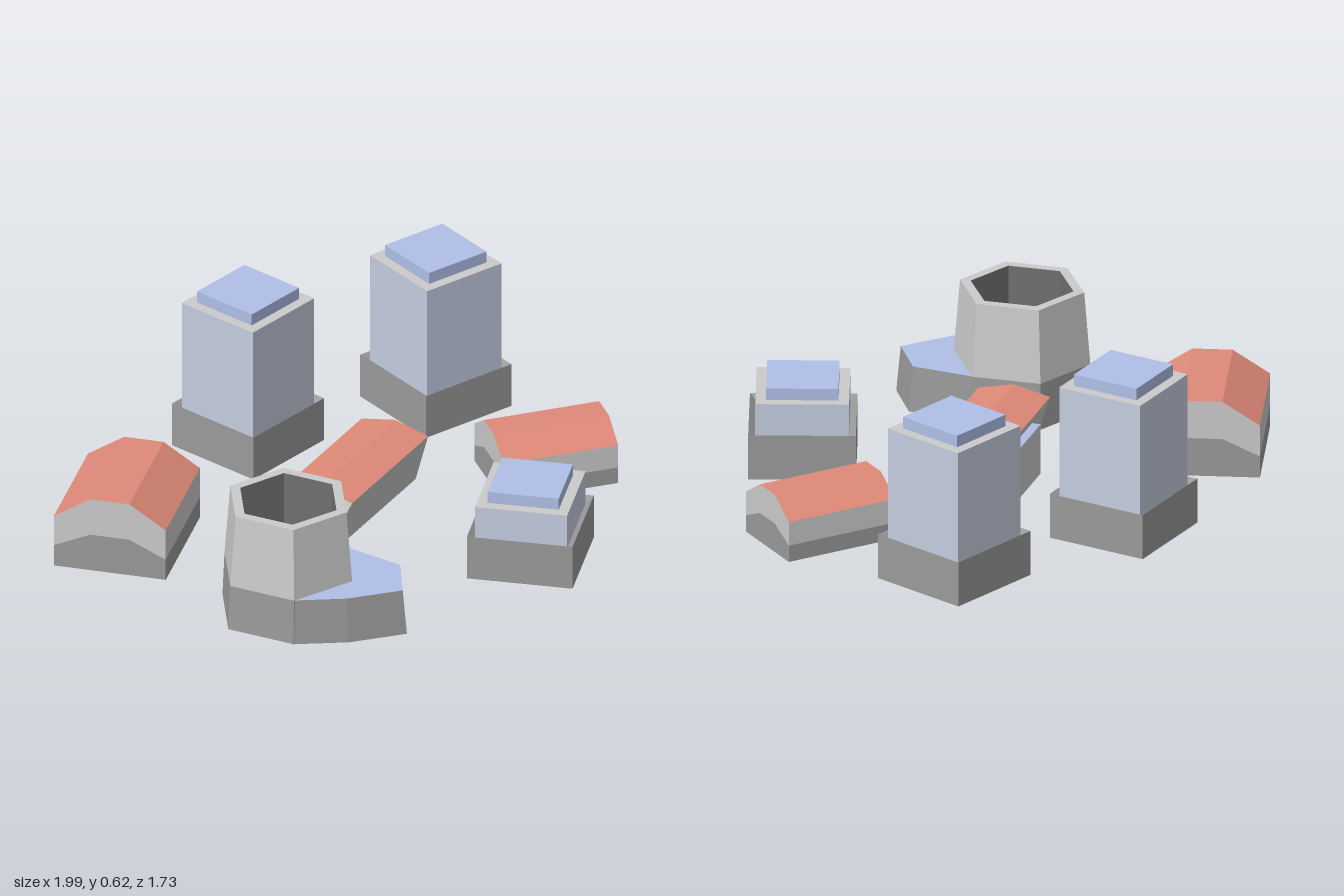
import * as THREE from 'three';

const material = (color) => new THREE.MeshStandardMaterial({ color, flatShading: true, side: THREE.DoubleSide });
const grey = material(0xcccccc);
const dark = material(0x9a9a9a);
const shade = material(0x707070);
const blue = material(0xafbfe6);
const paleBlue = material(0xc4cde0);
const red = material(0xe08a78);

function addMesh(parent, name, geometry, mat) {
  const flat = geometry.index ? geometry.toNonIndexed() : geometry;
  flat.computeVertexNormals();
  const mesh = new THREE.Mesh(flat, mat);
  mesh.name = name;
  parent.add(mesh);
  return mesh;
}

// Surface stretched between two rows of [x, y, z] points
function sheet(parent, name, mat, lower, upper) {
  const pos = [];
  for (let i = 0; i < lower.length - 1; i++) {
    const [a, b, c, d] = [lower[i], lower[i + 1], upper[i + 1], upper[i]];
    pos.push(...a, ...b, ...c, ...a, ...c, ...d);
  }
  const geometry = new THREE.BufferGeometry();
  geometry.setAttribute('position', new THREE.Float32BufferAttribute(pos, 3));
  return addMesh(parent, name, geometry, mat);
}

// Regular prism shell from a [radius, y] profile, listed from the bottom up
function shell(parent, name, mat, profile, sides, start, scale = 1) {
  const points = profile.map(([r, y]) => new THREE.Vector2(r * scale, y));
  return addMesh(parent, name, new THREE.LatheGeometry(points, sides, start), mat);
}

function place(root, name, x, z, degrees) {
  const group = new THREE.Group();
  group.name = name;
  group.position.set(x, 0, z);
  group.rotation.y = THREE.MathUtils.degToRad(degrees);
  root.add(group);
  return group;
}

// Square tower: plinth with a sloped rim, shaft, roof ledge and raised cap
function squareTower(root, x, z, degrees, top) {
  const g = place(root, 'squareTower', x, z, degrees);
  const part = (name, mat, profile) => shell(g, name, mat, profile, 4, Math.PI / 4, Math.SQRT2);
  part('plinth', dark, [[0.186, 0.015], [0.186, 0.18], [0.162, 0.16]]);
  part('shaft', paleBlue, [[0.162, 0.16], [0.162, top]]);
  part('roofLedge', grey, [[0.162, top], [0.125, top]]);
  part('roofCap', blue, [[0.125, top], [0.125, top + 0.043], [0, top + 0.043]]);
}

// Hall with a three-sided roof and two-tone walls
function hall(root, x, z, degrees, length, s) {
  const g = place(root, 'hall', x, z, degrees);
  const h = length / 2;
  const vs = [-0.2, -0.07, 0.07, 0.2].map((v) => v * s);
  const row = (px, ys) => vs.map((v, i) => [px, ys[i] * s, v]);
  const ground = [0, 0, 0, 0];
  const band = [0.08, 0.14, 0.14, 0.08];
  const roof = [0.195, 0.28, 0.28, 0.195];
  sheet(g, 'roof', red, row(h, roof), row(-h, roof));
  for (const e of [-1, 1]) {
    sheet(g, 'endWallBase', dark, row(e * h, ground).map((p, i, a) => a[e < 0 ? i : 3 - i]),
      row(e * h, band).map((p, i, a) => a[e < 0 ? i : 3 - i]));
    sheet(g, 'endWall', grey, row(e * h, band).map((p, i, a) => a[e < 0 ? i : 3 - i]),
      row(e * h, roof).map((p, i, a) => a[e < 0 ? i : 3 - i]));
    const line = (y) => [[-e * h, y * s, e * 0.2 * s], [e * h, y * s, e * 0.2 * s]];
    sheet(g, 'sideWallBase', dark, line(0), line(0.08));
    sheet(g, 'sideWall', grey, line(0.08), line(0.195));
  }
}

// Central house: shallow gable roof, walls tucked in below, ends splayed out
function gableHouse(root) {
  const g = place(root, 'gableHouse', 0.024, -0.01, 22.5);
  const w = 0.131, h = 0.272, eave = 0.232, ridge = 0.262;
  const fw = 0.047, fh = 0.335, floor = 0.01;
  const gable = (x) => [[x, eave, -w], [x, ridge, 0], [x, eave, w]];
  sheet(g, 'roof', red, gable(h), gable(-h));
  for (const e of [-1, 1]) {
    sheet(g, 'endWall', grey,
      [[e * fh, floor, e * fw], [e * fh, floor, 0], [e * fh, floor, -e * fw]],
      [[e * h, eave, e * w], [e * h, ridge, 0], [e * h, eave, -e * w]]);
    sheet(g, 'sideWall', grey,
      [[-e * fh, floor, e * fw], [e * fh, floor, e * fw]],
      [[-e * h, eave, e * w], [e * h, eave, e * w]]);
  }
  // Flat-topped porch at the back
  const porch = (y) => [[0.117, y, -0.06], [0.117, y, -0.148], [-0.117, y, -0.148], [-0.117, y, -0.06]];
  sheet(g, 'porchWalls', grey, porch(0.01), porch(0.195));
  const t = porch(0.195);
  sheet(g, 'porchRoof', blue, [t[0], t[3]], [t[1], t[2]]);
}

// Open six-sided tower with a low annex
function hexTower(root) {
  const g = place(root, 'hexTower', -0.57, 0.355, 0);
  const start = THREE.MathUtils.degToRad(26);
  const part = (name, mat, profile) => shell(g, name, mat, profile, 6, start);
  part('plinth', dark, [[0.252, 0.012], [0.244, 0.18]]);
  part('wall', grey, [[0.244, 0.18], [0.222, 0.447]]);
  part('rim', grey, [[0.222, 0.447], [0.184, 0.447]]);
  part('innerWall', shade, [[0.184, 0.447], [0.184, 0.2]]);
  part('innerFloor', shade, [[0.184, 0.2], [0, 0.2]]);

  const outline = [[-0.145, 0.205], [0.015, 0.315], [0.21, 0.393], [0.32, 0.24], [0.25, 0.018]];
  const ring = (s, y) => outline.map(([x, z]) => [x * s, y, z * s]);
  sheet(g, 'annexWall', dark, ring(1, 0.012), ring(0.965, 0.18));
  const corner = [0.1, 0.18, 0.205];
  sheet(g, 'annexRoof', blue, ring(0.965, 0.18), outline.map(() => corner));
}

export function createModel() {
  const root = new THREE.Group();
  root.name = 'village';
  squareTower(root, 0.055, -0.651, 10.5, 0.576);
  squareTower(root, 0.745, -0.476, -1, 0.576);
  squareTower(root, 0.306, 0.597, 40, 0.287);
  hall(root, -0.693, -0.385, 36.5, 0.459, 1);
  hall(root, 0.747, 0.134, -20, 0.42, 0.765);
  gableHouse(root);
  hexTower(root);
  return root;
}
